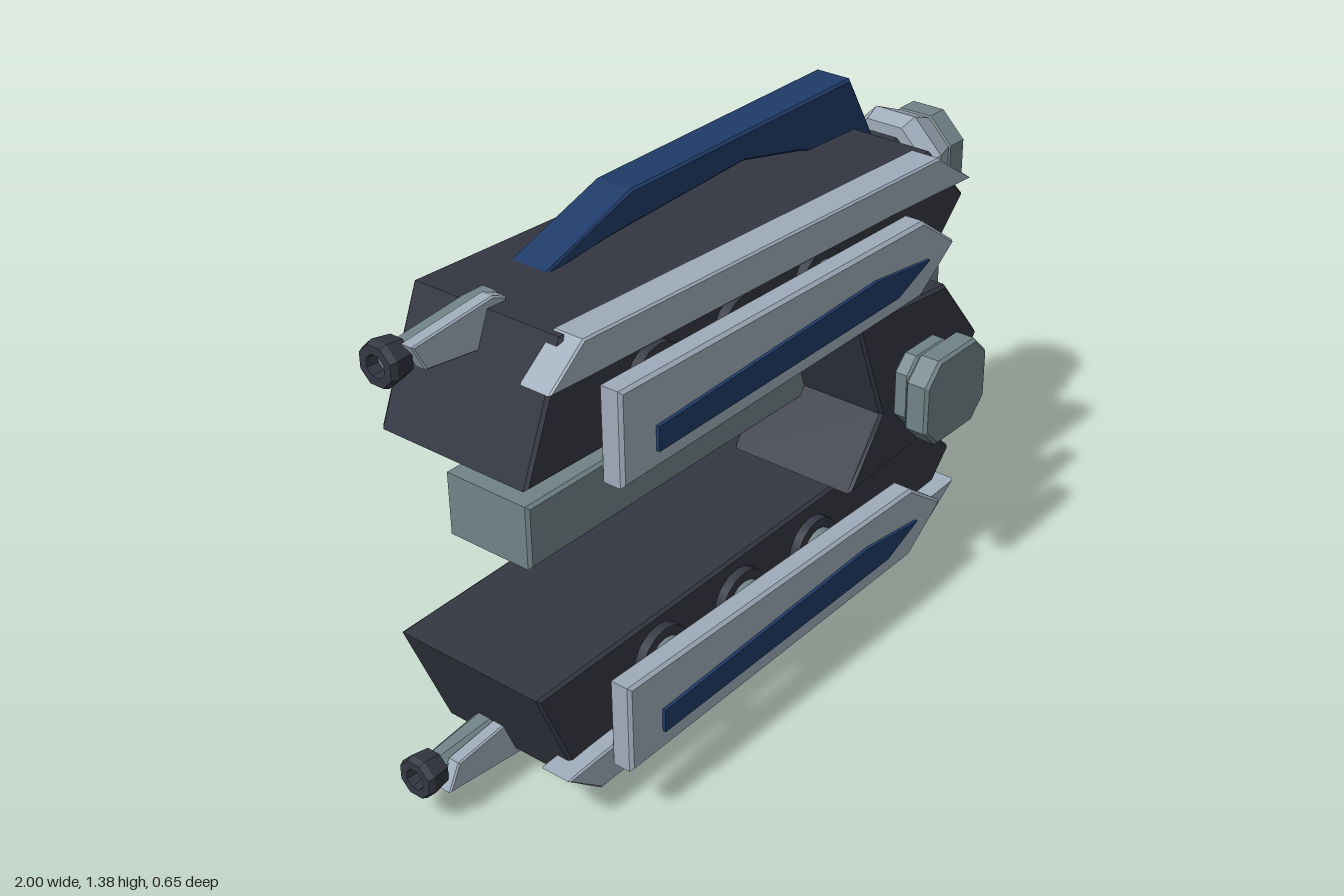
import * as THREE from 'three';

const mat = (name, color) => {
  const m = new THREE.MeshStandardMaterial({ color });
  m.name = name;
  return m;
};

export function createModel() {
  const model = new THREE.Group();
  model.name = 'twinThruster';
  const dark = mat('darkSlate', 0x343843);
  const light = mat('paleSteel', 0xa0adbb);
  const grey = mat('greenGrey', 0x728488);
  const blue = mat('navyBlue', 0x1f3b68);

  const add = (parent, name, geometry, material) => {
    const mesh = new THREE.Mesh(geometry, material);
    mesh.name = name;
    parent.add(mesh);
    return mesh;
  };

  // Side outline in x/y, given thickness from z0 to z1, with a small chamfer
  const plate = (points, z0, z1, bevel = 0.008) => {
    const shape = new THREE.Shape(points.map(([x, y]) => new THREE.Vector2(x, y)));
    const g = new THREE.ExtrudeGeometry(shape, {
      depth: z1 - z0 - 2 * bevel, bevelEnabled: bevel > 0, bevelSegments: 1,
      bevelSize: bevel, bevelThickness: bevel, bevelOffset: -bevel,
    });
    return g.translate(0, 0, z0 + bevel);
  };

  // Faceted octagonal turning along x; profile entries are [flat radius, x]
  const turnX = (profile, y, z) => {
    const pts = profile.map(([r, x]) => new THREE.Vector2(r / Math.cos(Math.PI / 8), x));
    const g = new THREE.LatheGeometry(pts, 8, Math.PI / 8).toNonIndexed();
    g.computeVertexNormals();
    return g.rotateZ(-Math.PI / 2).scale(1, 1, 1).translate(0, y, z);
  };

  // Disc facing the front
  const discZ = (r, z0, z1, x, y, sides = 16) =>
    new THREE.CylinderGeometry(r, r, z1 - z0, sides).rotateX(Math.PI / 2).translate(x, y, (z0 + z1) / 2);

  // Upper and lower pods, mirrored across the middle height
  for (const upper of [true, false]) {
    const pod = new THREE.Group();
    pod.name = upper ? 'upperPod' : 'lowerPod';
    model.add(pod);
    const my = (y) => (upper ? y : 1.38 - y);
    const flip = (points) => points.map(([x, y]) => [x, my(y)]);
    const cy = my(1.07);

    add(pod, 'podBody', plate(flip([
      [-0.86, 0.965], [0.64, 0.928], [0.79, 1.07], [0.63, 1.238], [-0.73, 1.28],
    ]), -0.325, 0.113), dark);

    add(pod, 'outerFin', plate(flip([
      [-0.54, 1.265], [-0.23, 1.372], [0.61, 1.38], [0.725, 1.18], [0.7, 1.12],
      [0.56, 1.18], [0.42, 1.248], [0.18, 1.302], [-0.3, 1.282],
    ]), -0.235, -0.125, 0.006), blue);

    add(pod, 'edgeRail', plate(flip([
      [-0.82, 1.195], [-0.71, 1.283], [0.6, 1.243], [0.75, 1.14], [0.4, 1.155], [-0.7, 1.187],
    ]), 0.07, 0.158, 0.005), light);

    add(pod, 'sidePanel', plate(flip([
      [-0.71, 0.953], [0.4, 0.968], [0.54, 1.07], [0.4, 1.172], [-0.71, 1.19],
    ]), 0.19, 0.253), light);

    // Inlay keeps the same way up on both pods
    const dy = upper ? 0.755 : 0;
    add(pod, 'panelInlay', plate([
      [-0.6, 0.245], [0.29, 0.257], [0.42, 0.31], [0.2, 0.337], [-0.6, 0.307],
    ].map(([x, y]) => [x, y + dy]), 0.253, 0.262, 0), blue);

    // Stand-offs behind the panel
    for (const x of [-0.45, -0.15, 0.15]) {
      add(pod, 'standoffFlange', discZ(0.088, 0.11, 0.138, x, cy), dark);
      add(pod, 'standoffDisc', discZ(0.062, 0.135, 0.173, x, cy), grey);
      add(pod, 'standoffPin', discZ(0.038, 0.17, 0.195, x, cy), dark);
    }

    // Engine nozzle
    const nz = -0.138;
    add(pod, 'nozzleNeck', turnX([[0, 0.68], [0.09, 0.68], [0.1, 0.79], [0, 0.8]], cy, nz), dark);
    add(pod, 'nozzleBell', turnX([
      [0, 0.785], [0.13, 0.785], [0.148, 0.835], [0.112, 0.925], [0, 0.925],
    ], cy, nz), light);
    add(pod, 'nozzleCollar', turnX([
      [0.1, 0.915], [0.116, 0.93], [0.116, 0.99], [0.108, 1], [0.074, 1], [0.07, 0.99], [0.07, 0.93],
    ], cy, nz), grey);
    add(pod, 'nozzleCore', turnX([[0.075, 0.925], [0.072, 0.935], [0, 0.935]], cy, nz), light);

    // Small barrel at the other end
    const by = my(1.235);
    const bz = -0.162;
    add(pod, 'barrelMuzzle', turnX([
      [0.022, -0.96], [0.026, -1], [0.046, -1], [0.052, -0.985], [0.044, -0.935], [0, -0.935],
    ].map(([r, x]) => [r, x]), by, bz), dark);
    add(pod, 'barrelBore', turnX([[0, -0.97], [0.024, -0.97]], by, bz), grey);
    add(pod, 'barrelShroud', turnX([
      [0, -0.945], [0.03, -0.945], [0.048, -0.72], [0.048, -0.66], [0, -0.66],
    ], by, bz), grey);
    add(pod, 'barrelBlade', plate(flip([
      [-0.95, 1.277], [-0.915, 1.21], [-0.75, 1.19], [-0.67, 1.22], [-0.67, 1.285], [-0.71, 1.302],
    ]), -0.137, -0.1, 0.004), light);
  }

  // Centre arrow block joining the pods
  add(model, 'centreBlock', plate([
    [0.23, 0.935], [0.34, 0.64], [0.21, 0.465], [0.59, 0.49], [0.772, 0.7], [0.61, 0.9],
  ], -0.185, 0.19), dark);

  // Long rear beam
  add(model, 'rearBeam', plate([
    [-0.693, 0.609], [0.957, 0.609], [0.957, 0.778], [-0.693, 0.778],
  ], -0.313, -0.053), grey);

  // Stepped knob on the centre block
  const knob = new THREE.Group();
  knob.name = 'frontKnob';
  model.add(knob);
  const chamfered = (hw, hh, c) => [
    [-hw, -hh + c], [-hw + c, -hh], [hw - c, -hh], [hw, -hh + c],
    [hw, hh - c], [hw - c, hh], [-hw + c, hh], [-hw, hh - c],
  ].map(([x, y]) => [0.473 + x, 0.694 + y]);
  add(knob, 'knobStem', plate(chamfered(0.07, 0.07, 0.03), 0.18, 0.265, 0), dark);
  add(knob, 'knobBase', plate(chamfered(0.1, 0.1, 0.04), 0.2, 0.245, 0.006), grey);
  add(knob, 'knobCap', plate(chamfered(0.134, 0.12, 0.055), 0.258, 0.325), grey);

  return model;
}
